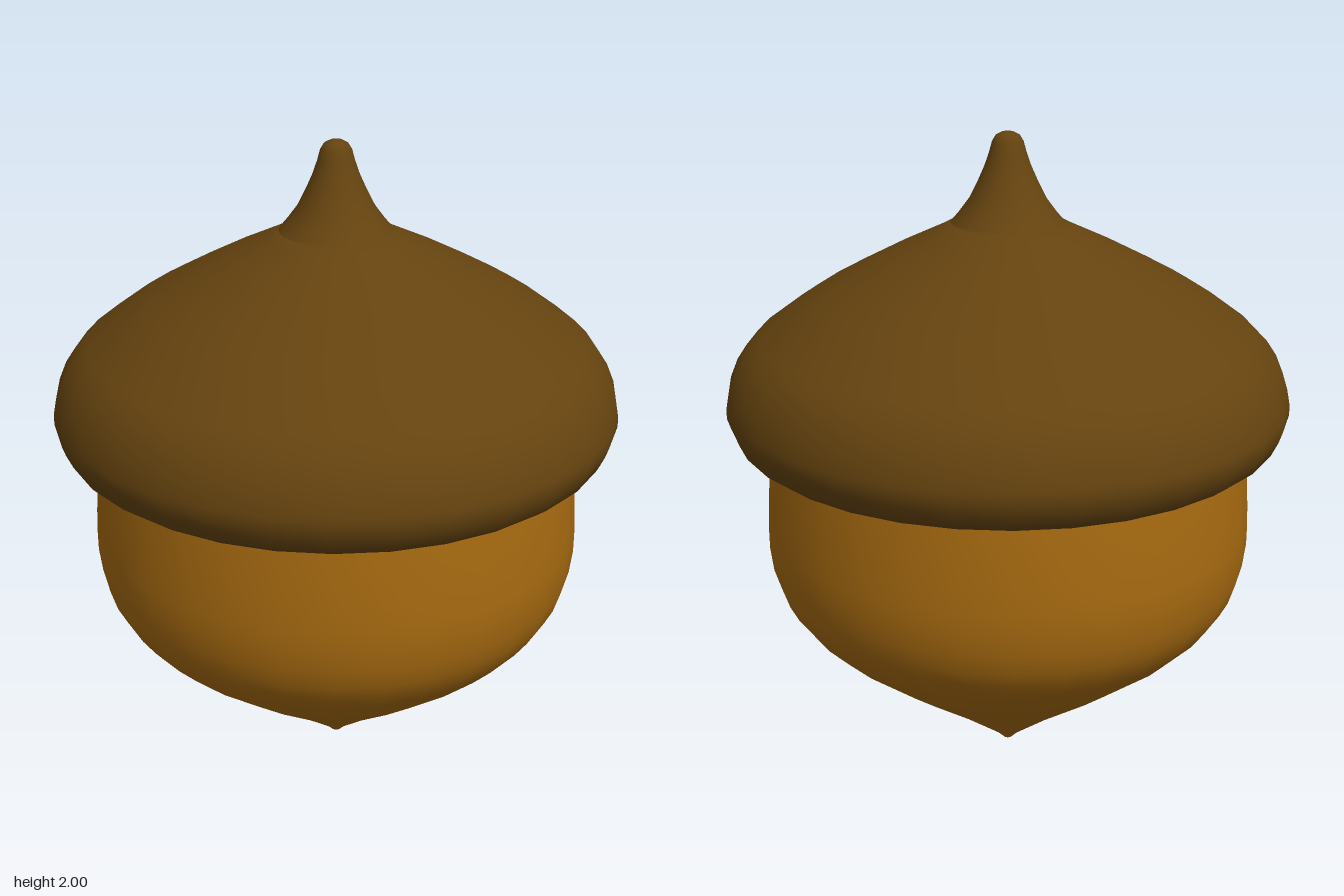
import * as THREE from 'three';

const SEGMENTS = 32;

// Turned part from a bottom-to-top [radius, height] profile
function turned(name, color, profile) {
  const points = profile.map(([r, y]) => new THREE.Vector2(r, y));
  const mesh = new THREE.Mesh(
    new THREE.LatheGeometry(points, SEGMENTS),
    new THREE.MeshStandardMaterial({ color })
  );
  mesh.name = name;
  return mesh;
}

export function createModel() {
  const group = new THREE.Group();
  group.name = 'acorn';

  const capColor = 0x65430f;
  const nutColor = 0xa56910;

  // Nut: pointed base, rounded shoulder, slightly narrowing walls into the cap
  group.add(turned('nut', nutColor, [
    [0, 0], [0.015, 0.01], [0.04, 0.035], [0.2, 0.16], [0.41, 0.313], [0.585, 0.452],
    [0.65, 0.517], [0.69, 0.572], [0.715, 0.62], [0.735, 0.685], [0.744, 0.76],
    [0.744, 0.82], [0.741, 0.89], [0.734, 0.99], [0.725, 1.08], [0.71, 1.2],
  ]));

  // Cap: flat underside, rolled rim and sloping dome
  group.add(turned('cap', capColor, [
    [0.7, 1.08], [0.76, 1.08], [0.785, 1.087], [0.818, 1.112], [0.838, 1.155],
    [0.848, 1.185], [0.848, 1.215], [0.838, 1.265], [0.815, 1.32], [0.785, 1.365],
    [0.745, 1.406], [0.635, 1.487], [0.56, 1.535], [0.465, 1.587], [0.33, 1.657],
    [0.2, 1.718], [0.155, 1.742], [0, 1.77],
  ]));

  // Stem: flared foot tapering to a rounded tip
  group.add(turned('stem', capColor, [
    [0.168, 1.735], [0.145, 1.762], [0.115, 1.802], [0.088, 1.855], [0.068, 1.9],
    [0.054, 1.94], [0.046, 1.97], [0.035, 1.988], [0.018, 1.997], [0, 2],
  ]));

  return group;
}
